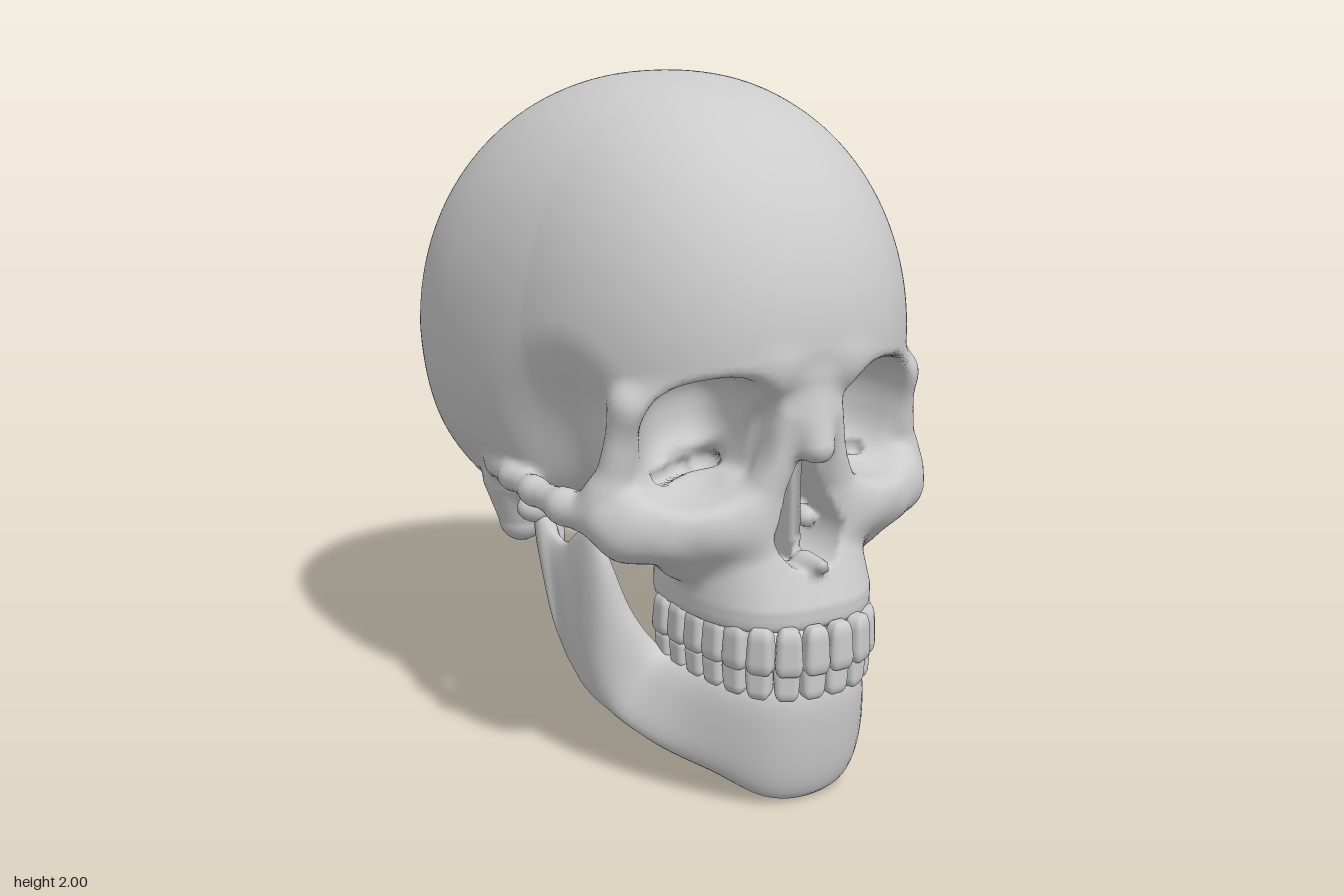
import * as THREE from 'three';
import { RoundedBoxGeometry } from 'three/addons/geometries/RoundedBoxGeometry.js';

const material = new THREE.MeshStandardMaterial({ color: 0xcccccc });
const { clamp, smoothstep } = THREE.MathUtils;

// Soft union, soft intersection and soft carving of solid fields (negative = inside)
const join = (a, b, k) => { const h = Math.max(k - Math.abs(a - b), 0); return Math.min(a, b) - h * h / (4 * k); };
const meet = (a, b, k) => -join(-a, -b, k);
const carve = (a, b, k) => meet(a, -b, k);

// Rounded bar from [x, y, z, radius] to [x, y, z, radius]
function bar(x, y, z, [ax, ay, az, ra, bx, by, bz, rb]) {
  const dx = bx - ax, dy = by - ay, dz = bz - az;
  const t = clamp(((x - ax) * dx + (y - ay) * dy + (z - az) * dz) / (dx * dx + dy * dy + dz * dz), 0, 1);
  return Math.hypot(x - ax - t * dx, y - ay - t * dy, z - az - t * dz) - ra - t * (rb - ra);
}

// Ellipsoid [centre x, y, z, radius x, y, z]
function egg(x, y, z, [cx, cy, cz, rx, ry, rz]) {
  const X = (x - cx) / rx, Y = (y - cy) / ry, Z = (z - cz) / rz;
  const k = Math.hypot(X, Y, Z), g = Math.hypot(X / rx, Y / ry, Z / rz);
  return g > 1e-6 ? k * (k - 1) / g : -Math.min(rx, ry, rz);
}

// One half of the face; the other half is mirrored
const faceBars = [
  [0.10, 1.25, 0.70, 0.085, 0.44, 1.15, 0.56, 0.045], // brow ridge
  [0.445, 1.15, 0.55, 0.043, 0.48, 0.92, 0.51, 0.05], // outer eye rim
  [0.43, 0.85, 0.57, 0.05, 0.17, 0.86, 0.69, 0.05],   // lower eye rim
  [0.49, 0.88, 0.49, 0.065, 0.36, 0.80, 0.60, 0.085], // cheekbone
  [0.06, 1.12, 0.735, 0.05, 0.145, 0.80, 0.69, 0.06], // side of nose
  [0.00, 1.20, 0.725, 0.07, 0.00, 1.04, 0.79, 0.047], // nasal bone
  [0.15, 0.88, 0.33, 0.06, 0.17, 0.63, 0.34, 0.035],  // plate behind palate
];
const faceEggs = [
  [0.43, 0.80, 0.54, 0.11, 0.09, 0.09], // lower cheekbone
  [0.28, 0.74, 0.55, 0.09, 0.10, 0.11], // cheek root above the molars
  [0.20, 0.82, 0.58, 0.20, 0.13, 0.17], // floor of eye socket
  [0.00, 1.00, 0.56, 0.13, 0.25, 0.17], // wall between sockets
  [0.36, 1.02, 0.43, 0.11, 0.21, 0.15], // outer wall of eye socket
  [0.22, 0.86, 0.27, 0.17, 0.15, 0.16], // wing under the braincase
];
// Cheek arch, then the bump behind the ear and the spike below it
const sideBars = [
  [0.50, 0.835, 0.50, 0.065, 0.56, 0.845, 0.38, 0.045], [0.56, 0.845, 0.38, 0.045, 0.578, 0.85, 0.22, 0.036],
  [0.578, 0.85, 0.22, 0.036, 0.57, 0.85, 0.06, 0.036], [0.57, 0.85, 0.06, 0.036, 0.55, 0.85, -0.08, 0.045],
  [0.46, 0.77, -0.15, 0.11, 0.455, 0.645, -0.15, 0.07], [0.42, 0.74, -0.01, 0.035, 0.41, 0.61, 0.03, 0.016],
];

function braincase(x, y, z) {
  const dy = y - 1.22, dz = z + 0.1 - 0.06 * clamp(dy / 0.78, 0, 1);
  const m = 2.06 + 0.44 * smoothstep(-dy, 0, 0.35);
  const X = x / (0.66 * (1 - 0.17 * clamp(z + 0.1, -0.4, 0.3)));
  const Y = Math.abs(dy) / (dy > 0 ? 0.78 : 0.67), Z = Math.abs(dz) / (dz > 0 ? 0.9 : 0.79);
  const q = Math.pow(Y, m) + Math.pow(Z, m);
  let d = (Math.pow(Math.pow(X, 2.25) + Math.pow(q, 2.25 / m), 1 / 2.25) - 1) * 0.7;
  d = meet(d, 0.59 - y, 0.07);                                              // flat base
  d = meet(d, -0.565 * (z + 0.515) - 0.826 * (y - 0.605) - 0.012, 0.1);     // slope at the nape
  d = meet(d, 0.573 * (z + 0.06) - 0.82 * (y - 0.62), 0.07);                // base rising to the face
  d = carve(d, egg(x, y, z, [0.68, 0.95, 0.40, 0.21, 0.30, 0.24]), 0.14);   // temple hollow
  return carve(d, egg(x, y, z, [0.52, 0.73, 0.08, 0.14, 0.1, 0.1]), 0.04);  // jaw joint socket
}

function upperJaw(x, y, z) {
  const rise = clamp(y - 0.6, 0, 0.25);
  const X = x / (0.28 - 0.1 * rise), Z = Math.abs(z - 0.45) / (0.39 - 0.42 * rise);
  let d = (Math.pow(Math.pow(X, 2.7) + Math.pow(Z, 2.7), 1 / 2.7) - 1) * 0.28;
  d = meet(d, Math.max(0.53 - y, y - 0.86), 0.03);
  d = meet(d, 0.35 - z, 0.04);
  return carve(d, egg(x, y, z, [0, 0.53, 0.42, 0.19, 0.12, 0.34]), 0.03);   // palate vault
}

function eyeSocket(x, y, z) {
  const dx = x - 0.288 + 0.35 * Math.max(0, 0.62 - z), dy = y - 1.06 + 0.18 * (x - 0.29);
  const s = [dx / 0.17, dy / 0.178, (z - 0.75) / 0.36].reduce((sum, v) => sum + Math.pow(Math.abs(v), 2.5), 0);
  return (Math.pow(s, 0.4) - 1) * 0.17;
}

function noseOpening(x, y, z) {
  const t = clamp((0.965 - y) / 0.17, 0, 1);
  return Math.max(Math.hypot(x, y - 0.965 + 0.17 * t) - 0.03 - 0.08 * t, 0.46 - z);
}

function skullField(sx, y, z) {
  const x = Math.abs(sx);
  let d = braincase(x, y, z);
  if (z > 0.05) {
    d = join(d, upperJaw(x, y, z), 0.06);
    for (const b of faceBars) d = join(d, bar(x, y, z, b), 0.05);
    for (const e of faceEggs) d = join(d, egg(x, y, z, e), 0.05);
    d = carve(d, eyeSocket(x, y, z), 0.03);
    d = carve(d, bar(x, y, z, [0.33, 0.92, 0.50, 0.022, 0.20, 0.92, 0.42, 0.02]), 0.015);  // socket fissure
    d = carve(d, noseOpening(x, y, z), 0.012);
    d = join(d, Math.max(x - 0.014, Math.abs(y - 0.84) - 0.15, Math.abs(z - 0.57) - 0.13), 0.01); // septum
    d = join(d, bar(x, y, z, [0.08, 0.78, 0.62, 0.028, 0.08, 0.80, 0.5, 0.03]), 0.01);     // inner nose curl
    d = join(d, bar(x, y, z, [0, 0.695, 0.74, 0.035, 0, 0.71, 0.83, 0.018]), 0.03);        // nasal spine
  }
  for (const b of sideBars) d = join(d, bar(x, y, z, b), 0.035);
  return carve(d, bar(x, y, z, [0.62, 0.79, -0.04, 0.03, 0.45, 0.8, -0.03, 0.02]), 0.02);  // ear canal
}

function surface(pos, index) {
  const geo = new THREE.BufferGeometry();
  geo.setAttribute('position', new THREE.Float32BufferAttribute(pos, 3));
  geo.setIndex(index).computeVertexNormals();
  return geo;
}

// Skin a solid field with quads: one vertex per surface cell, then settle it on the surface
function sculpt(field, lo, hi, h) {
  const n = lo.map((l, i) => Math.ceil((hi[i] - l) / h) + 1), step = [1, n[0], n[0] * n[1]];
  const val = new Float32Array(n[0] * n[1] * n[2]), id = new Int32Array(val.length).fill(-1);
  const pos = [], nor = [], index = [], cells = [], e = 0.005;
  for (let k = 0, c = 0; k < n[2]; k++) for (let j = 0; j < n[1]; j++) for (let i = 0; i < n[0]; i++)
    val[c++] = field(lo[0] + i * h, lo[1] + j * h, lo[2] + k * h);
  for (let k = 0; k < n[2] - 1; k++) for (let j = 0; j < n[1] - 1; j++) for (let i = 0; i < n[0] - 1; i++) {
    const base = i + j * step[1] + k * step[2], sum = [0, 0, 0];
    let count = 0;
    for (let a = 0; a < 3; a++) for (let s = 0; s < 4; s++) {
      const b = (a + 1) % 3, c = (a + 2) % 3, u = s & 1, v = s >> 1;
      const p = base + u * step[b] + v * step[c], f0 = val[p], f1 = val[p + step[a]];
      if ((f0 < 0) === (f1 < 0)) continue;
      sum[a] += f0 / (f0 - f1); sum[b] += u; sum[c] += v; count++;
    }
    if (!count) continue;
    id[base] = cells.push(base) - 1;
    pos.push(...[i, j, k].map((g, a) => lo[a] + (g + sum[a] / count) * h));
  }
  for (const p of cells) for (let a = 0; a < 3; a++) {
    const inside = val[p] < 0, b = step[(a + 1) % 3], c = step[(a + 2) % 3];
    if (inside === (val[p + step[a]] < 0)) continue;
    const [q0, q1, q2, q3] = [id[p], id[p - b], id[p - b - c], id[p - c]];
    if (inside) index.push(q0, q1, q2, q0, q2, q3); else index.push(q0, q2, q1, q0, q3, q2);
  }
  for (let v = 0; v < pos.length; v += 3) for (let pass = 0; pass < 2; pass++) {
    const [x, y, z] = pos.slice(v, v + 3);
    const g = [field(x + e, y, z) - field(x - e, y, z), field(x, y + e, z) - field(x, y - e, z),
      field(x, y, z + e) - field(x, y, z - e)];
    const len = Math.hypot(...g) || 1, move = clamp(field(x, y, z) * 2 * e / len, -h / 3, h / 3);
    g.forEach((s, a) => { nor[v + a] = s / len; pos[v + a] -= move * s / len; });
  }
  return surface(pos, index).setAttribute('normal', new THREE.Float32BufferAttribute(nor, 3));
}

// Lower jaw stations, chin to joint: bottom x, y, z, top x, y, z, half thickness
const jawStations = [
  [0, 0.0, 0.755, 0, 0.37, 0.80, 0.05], [0.12, 0.02, 0.735, 0.11, 0.37, 0.78, 0.05],
  [0.225, 0.08, 0.64, 0.19, 0.37, 0.68, 0.05], [0.32, 0.125, 0.52, 0.235, 0.37, 0.53, 0.048],
  [0.39, 0.175, 0.40, 0.28, 0.38, 0.42, 0.045], [0.415, 0.20, 0.35, 0.36, 0.50, 0.385, 0.042],
  [0.43, 0.215, 0.31, 0.42, 0.66, 0.37, 0.035], [0.44, 0.23, 0.28, 0.45, 0.75, 0.335, 0.028],
  [0.445, 0.245, 0.25, 0.465, 0.73, 0.28, 0.025], [0.45, 0.27, 0.22, 0.475, 0.68, 0.22, 0.026],
  [0.455, 0.31, 0.18, 0.485, 0.69, 0.16, 0.03], [0.46, 0.36, 0.16, 0.495, 0.75, 0.115, 0.04],
  [0.465, 0.42, 0.145, 0.50, 0.76, 0.08, 0.035],
];

function jawBone() {
  const mirrored = jawStations.slice(1).reverse().map(([a, b, c, d, ...r]) => [-a, b, c, -d, ...r]);
  const curve = (f) => new THREE.CatmullRomCurve3(
    [...mirrored, ...jawStations].map((s) => new THREE.Vector3(...f(s))), false, 'catmullrom');
  const low = curve((s) => s.slice(0, 3)), high = curve((s) => s.slice(3, 6)), thick = curve((s) => [s[6], 0, 0]);
  const N = 120, M = 28, pos = [], index = [], bend = (v) => Math.sign(v) * Math.pow(Math.abs(v), 0.75);
  for (let i = 0; i <= N + 2; i++) {
    const t = clamp((i - 1) / N, 0, 1), size = i === 0 || i === N + 2 ? 0 : 1; // closed ends
    const a = low.getPoint(t), b = high.getPoint(t), w = thick.getPoint(t).x * size;
    const tan = low.getTangent(t).add(high.getTangent(t)).setY(0).normalize();
    for (let j = 0; j < M; j++) {
      const ang = j / M * Math.PI * 2, side = bend(Math.cos(ang)) * w;
      const p = a.clone().lerp(b, 0.5 + 0.5 * size * bend(Math.sin(ang)));
      pos.push(p.x - tan.z * side, p.y, p.z + tan.x * side);
      const k = (j + 1) % M, r = i * M, s = r + M;
      if (i < N + 2) index.push(r + j, s + j, r + k, s + j, s + k, r + k);
    }
  }
  return surface(pos, index);
}

function part(name, geo, parent) {
  const mesh = new THREE.Mesh(geo, material);
  mesh.name = name;
  parent.add(mesh);
  return mesh;
}

// Sixteen teeth spaced evenly along the dental arch, narrowing to the root
function toothRow(name, y, height, scale, upper, parent) {
  const half = [[0.10, 0.845], [0.175, 0.785], [0.22, 0.67], [0.245, 0.53], [0.255, 0.38]];
  const plan = [...half.map(([x, z]) => [-x, z]).reverse(), [0, 0.858], ...half];
  const arch = new THREE.CatmullRomCurve3(plan.map(([x, z]) => new THREE.Vector3(x * scale, y, 0.38 + (z - 0.38) * scale)));
  const geo = new RoundedBoxGeometry(1, 1, 1, 3, 0.28), p = geo.attributes.position;
  for (let i = 0; i < p.count; i++) {
    const taper = 1 - 0.2 * (p.getY(i) + 0.5);
    p.setX(i, p.getX(i) * taper).setZ(i, p.getZ(i) * taper);
  }
  const row = new THREE.Group();
  row.name = name;
  parent.add(row);
  for (let i = 0; i < 16; i++) {
    const u = (i + 0.5) / 16, tan = arch.getTangentAt(u), back = Math.abs(i - 7.5) / 7.5;
    const tooth = part(back > 0.55 ? 'molar' : back > 0.3 ? 'canine' : 'incisor', geo, row);
    tooth.position.copy(arch.getPointAt(u));
    tooth.rotation.set(0, Math.atan2(-tan.z, tan.x), upper ? 0 : Math.PI);
    tooth.scale.set(0.081 * scale, height * (1 - 0.12 * back), 0.06 + 0.025 * back);
  }
}

export function createModel() {
  const model = new THREE.Group();
  model.name = 'skull';
  part('craniumAndFace', sculpt(skullField, [-0.724, 0.48, -0.95], [0.724, 2.06, 0.93], 0.0165), model);
  part('lowerJaw', jawBone(), model);
  for (const side of [-1, 1]) {
    const joint = part('jawJoint', new THREE.SphereGeometry(1, 24, 16), model);
    joint.position.set(side * 0.5, 0.755, 0.085);
    joint.scale.set(0.07, 0.048, 0.048);
  }
  toothRow('upperTeeth', 0.488, 0.14, 1, true, model);
  toothRow('lowerTeeth', 0.395, 0.11, 0.965, false, model);
  return model;
}
